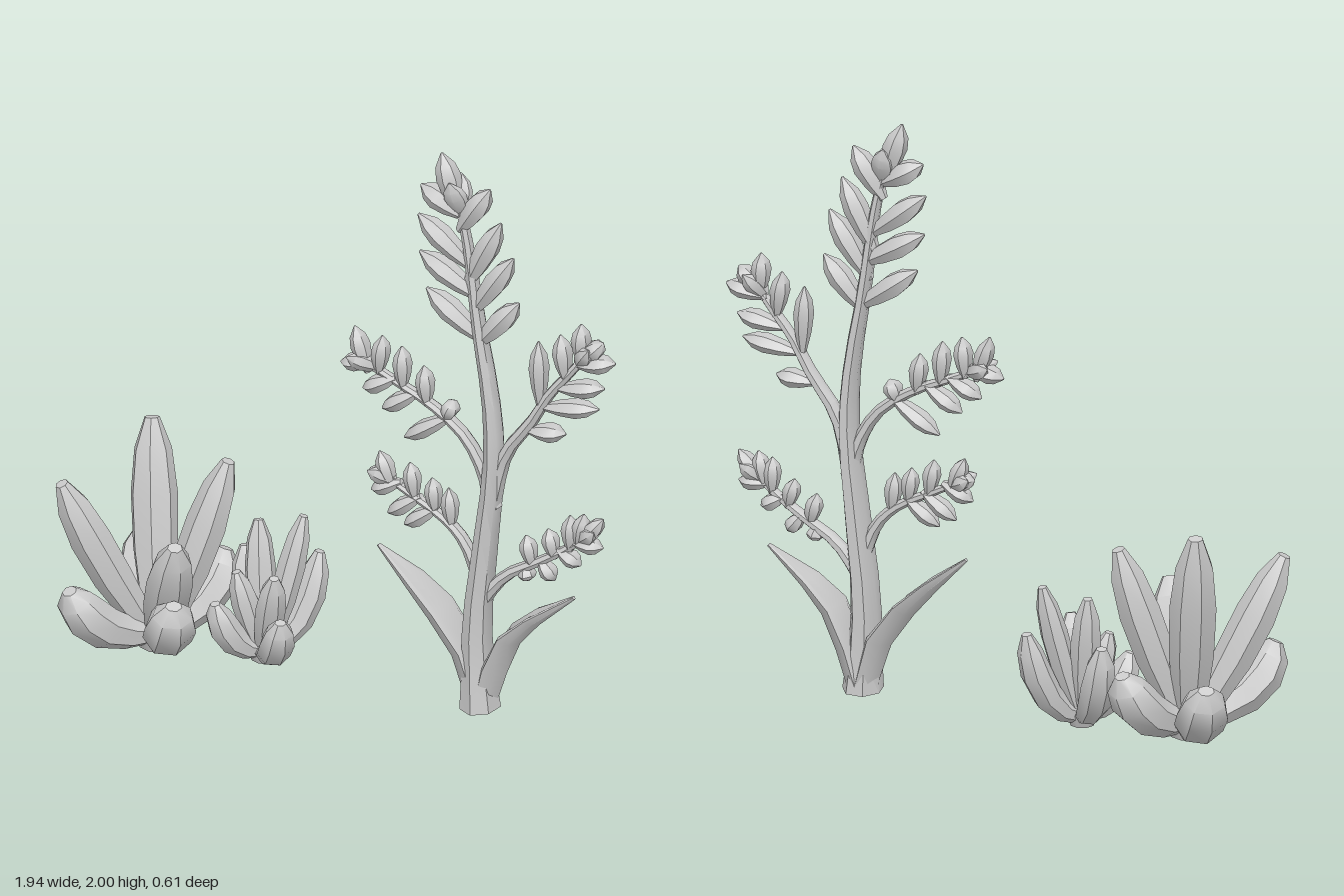
import * as THREE from 'three';
import { toCreasedNormals } from 'three/addons/utils/BufferGeometryUtils.js';

const grey = new THREE.MeshStandardMaterial({ color: 0xcccccc });
grey.name = 'plant grey';
const V = (x, y, z) => new THREE.Vector3(x, y, z);
const PLANT_Z = -0.03;

// Closed skin of elliptical rings along a path; sizes = [half width along side, half thickness].
// fold lifts the two edges to make a channelled leaf.
function loft(name, path, sizes, side, sides = 6, fold = 0) {
  const pos = [], index = [], last = path.length - 1;
  path.forEach((p, i) => {
    const t = path[Math.min(i + 1, last)].clone().sub(path[Math.max(i - 1, 0)]).normalize();
    const u = side.clone().addScaledVector(t, -side.dot(t)).normalize();
    const v = t.clone().cross(u);
    const [a, b] = sizes[i];
    for (let j = 0; j < sides; j++) {
      const k = (j / sides) * Math.PI * 2, c = Math.cos(k);
      const q = p.clone().addScaledVector(u, a * c)
        .addScaledVector(v, b * Math.sin(k) + fold * (a / 0.08) * c * c);
      pos.push(q.x, Math.max(q.y, 0), q.z);
    }
  });
  for (let i = 0; i < last; i++) for (let j = 0; j < sides; j++) {
    const a = i * sides + j, b = i * sides + (j + 1) % sides;
    index.push(a, b, a + sides, b, b + sides, a + sides);
  }
  for (let j = 1; j < sides - 1; j++) {
    const e = last * sides;
    index.push(0, j + 1, j, e, e + j, e + j + 1);
  }
  const g = new THREE.BufferGeometry();
  g.setAttribute('position', new THREE.Float32BufferAttribute(pos, 3));
  g.setIndex(index);
  const mesh = new THREE.Mesh(toCreasedNormals(g, 0.75), grey);
  mesh.name = name;
  return mesh;
}

// Stem through [x, y] points, tapering from r0 to r1, a little deeper than wide
function stem(name, pts, r0, r1, depth) {
  const curve = new THREE.CatmullRomCurve3(pts.map(([x, y]) => V(x, y, PLANT_Z)));
  const path = curve.getPoints(pts.length * 2);
  const sizes = path.map((_, i) => {
    const k = i / (path.length - 1);
    const r = r0 + (r1 - r0) * Math.sqrt(k);
    return [r * (1.2 + (depth - 1.2) * Math.sin(k * Math.PI)), r];
  });
  return loft(name, path, sizes, V(0, 0, 1), 7);
}

// Small pointed leaf whose foot reaches back into the stem
function leaflet(from, to, w, d) {
  const path = [-0.22, 0.15, 0.5, 0.75, 1].map(t => from.clone().lerp(to, t));
  const sizes = [0.35, 0.8, 1, 0.8, 0.1].map(s => [s * d, s * w]);
  return loft('leaflet', path, sizes, V(0, 0, 1), 6);
}

// Branch with leaflets given as [base x, base y, tip x, tip y]
function branch(name, pts, r0, r1, leaves, w, d, depth = 1.3) {
  const g = new THREE.Group();
  g.name = name;
  g.add(stem(name + 'Stem', pts, r0, r1, depth));
  for (const [a, b, c, e] of leaves) g.add(leaflet(V(a, b, PLANT_Z), V(c, e, PLANT_Z), w, d));
  // pair of buds facing front and back at the end
  const [x, y] = pts[pts.length - 1], [px, py] = pts[pts.length - 2];
  const k = 1.4 * w / Math.hypot(x - px, y - py);
  for (const s of [-1, 1]) {
    g.add(leaflet(V(x - (x - px) * k, y - (y - py) * k, PLANT_Z),
      V(x + (x - px) * k, y + (y - py) * k, PLANT_Z + s * d), w, d * 0.6));
  }
  return g;
}

// Thick succulent leaf curving out from the rosette's centre
function fleshyLeaf(center, tip, w, bulge) {
  const out = V(tip.x - center.x, 0, tip.z - center.z);
  const start = center.clone().addScaledVector(out, 0.08);
  const ctrl = center.clone().addScaledVector(out, bulge);
  ctrl.y += (tip.y - center.y) * (bulge > 0.6 ? 0.12 : 0.35);
  const curve = new THREE.QuadraticBezierCurve3(start, ctrl, tip);
  const path = [0, 0.2, 0.45, 0.7, 0.88, 1].map(t => curve.getPoint(t));
  const sizes = [0.55, 0.75, 0.96, 1, 0.8, 0.32].map(s => [s * w, s * w * 0.88]);
  return loft('fleshyLeaf', path, sizes, V(-out.z, 0, out.x), 7);
}

function rosette(name, x, z, foot, lower, upper, wLow, wUp) {
  const g = new THREE.Group();
  g.name = name;
  const c = V(x, foot * 0.8, z);
  for (const p of lower) g.add(fleshyLeaf(c, V(...p), wLow, 0.78));
  for (const p of upper) g.add(fleshyLeaf(c, V(...p), wUp, 0.5));
  const root = new THREE.Mesh(new THREE.CylinderGeometry(foot * 1.3, foot * 0.9, foot, 8), grey);
  root.name = 'root';
  root.position.set(x, foot / 2, z);
  g.add(root);
  return g;
}

export function createModel() {
  const model = new THREE.Group();
  model.name = 'plants';

  // Tall plant: main stem with its upper leaflets
  const tall = new THREE.Group();
  tall.name = 'tallPlant';
  tall.add(branch('mainStem',
    [[0.475, 0], [0.465, 0.3], [0.495, 0.6], [0.525, 0.9], [0.515, 1.12], [0.47, 1.4], [0.435, 1.66], [0.395, 1.86]],
    0.068, 0.014, [
      [0.41, 1.63, 0.25, 1.76], [0.435, 1.52, 0.255, 1.625], [0.45, 1.37, 0.28, 1.495], [0.38, 1.8, 0.26, 1.87],
      [0.45, 1.58, 0.55, 1.785], [0.475, 1.48, 0.595, 1.665], [0.495, 1.36, 0.615, 1.505], [0.42, 1.76, 0.51, 1.9],
      [0.385, 1.83, 0.335, 2.0]], 0.042, 0.045, 1.75));

  // Four side branches
  tall.add(branch('upperLeftBranch',
    [[0.52, 0.74], [0.49, 0.86], [0.42, 0.98], [0.3, 1.07], [0.17, 1.13], [0.05, 1.185]], 0.033, 0.013, [
      [0.11, 1.17, 0.12, 1.285], [0.195, 1.135, 0.19, 1.26], [0.28, 1.09, 0.27, 1.205], [0.355, 1.04, 0.38, 1.1],
      [0.15, 1.13, 0.05, 1.08], [0.23, 1.09, 0.12, 1.02], [0.34, 1.02, 0.2, 0.93],
      [0.06, 1.17, 0.02, 1.3], [0.07, 1.18, -0.03, 1.16]], 0.031, 0.044));
  tall.add(branch('lowerLeftBranch',
    [[0.48, 0.45], [0.42, 0.59], [0.35, 0.66], [0.22, 0.73], [0.12, 0.78]], 0.029, 0.012, [
      [0.235, 0.735, 0.22, 0.84], [0.31, 0.7, 0.3, 0.8], [0.37, 0.66, 0.36, 0.775], [0.17, 0.755, 0.08, 0.715],
      [0.24, 0.71, 0.14, 0.64], [0.3, 0.68, 0.2, 0.61], [0.15, 0.76, 0.11, 0.86], [0.14, 0.77, 0.075, 0.79]],
    0.03, 0.038));
  tall.add(branch('upperRightBranch',
    [[0.52, 0.78], [0.57, 0.95], [0.66, 1.08], [0.73, 1.2], [0.81, 1.3], [0.86, 1.37]], 0.033, 0.013, [
      [0.69, 1.19, 0.685, 1.38], [0.78, 1.29, 0.765, 1.42], [0.85, 1.33, 0.965, 1.355], [0.79, 1.23, 0.925, 1.255],
      [0.74, 1.15, 0.905, 1.175], [0.675, 1.05, 0.785, 1.06], [0.84, 1.36, 0.84, 1.475], [0.86, 1.36, 0.92, 1.42]],
    0.032, 0.046));
  tall.add(branch('lowerRightBranch',
    [[0.48, 0.39], [0.57, 0.5], [0.69, 0.575], [0.8, 0.65], [0.87, 0.71]], 0.029, 0.012, [
      [0.66, 0.57, 0.64, 0.66], [0.74, 0.615, 0.72, 0.7], [0.8, 0.66, 0.8, 0.765], [0.83, 0.67, 0.92, 0.67],
      [0.77, 0.625, 0.84, 0.59], [0.7, 0.57, 0.745, 0.515], [0.64, 0.54, 0.65, 0.495], [0.85, 0.69, 0.92, 0.775],
      [0.83, 0.68, 0.85, 0.78]], 0.03, 0.038));

  // Two broad leaves at the foot
  const widths = [[0.06, 0.035], [0.075, 0.035], [0.08, 0.03], [0.06, 0.02], [0.008, 0.006]];
  const broad = {
    leftFootLeaf: [[0.46, 0], [0.4, 0.19], [0.31, 0.31], [0.22, 0.4], [0.1, 0.51]],
    rightFootLeaf: [[0.49, 0], [0.535, 0.15], [0.59, 0.27], [0.67, 0.35], [0.81, 0.46]],
  };
  for (const [name, pts] of Object.entries(broad)) {
    const fold = pts[4][0] < pts[0][0] ? 0.03 : -0.03;
    tall.add(loft(name, pts.map(([x, y]) => V(x, y, PLANT_Z - 0.01)), widths, V(0, 0, 1), 8, fold));
  }
  model.add(tall);

  // Two succulents
  model.add(rosette('largeSucculent', -0.68, 0, 0.07,
    [[-0.88, 0.27, 0.26], [-0.53, 0.26, 0.2], [-0.86, 0.27, -0.27], [-0.55, 0.27, -0.25]],
    [[-0.95, 0.61, 0.17], [-0.77, 0.75, -0.15], [-0.48, 0.66, -0.12], [-0.53, 0.47, 0.19]], 0.088, 0.08));
  model.add(rosette('smallSucculent', -0.32, -0.05, 0.045,
    [[-0.44, 0.23, 0.07], [-0.185, 0.23, 0.11], [-0.45, 0.33, -0.19], [-0.19, 0.35, -0.21]],
    [[-0.37, 0.47, -0.12], [-0.22, 0.5, -0.15], [-0.4, 0.32, -0.01], [-0.24, 0.35, 0.04]], 0.06, 0.052));
  return model;
}
